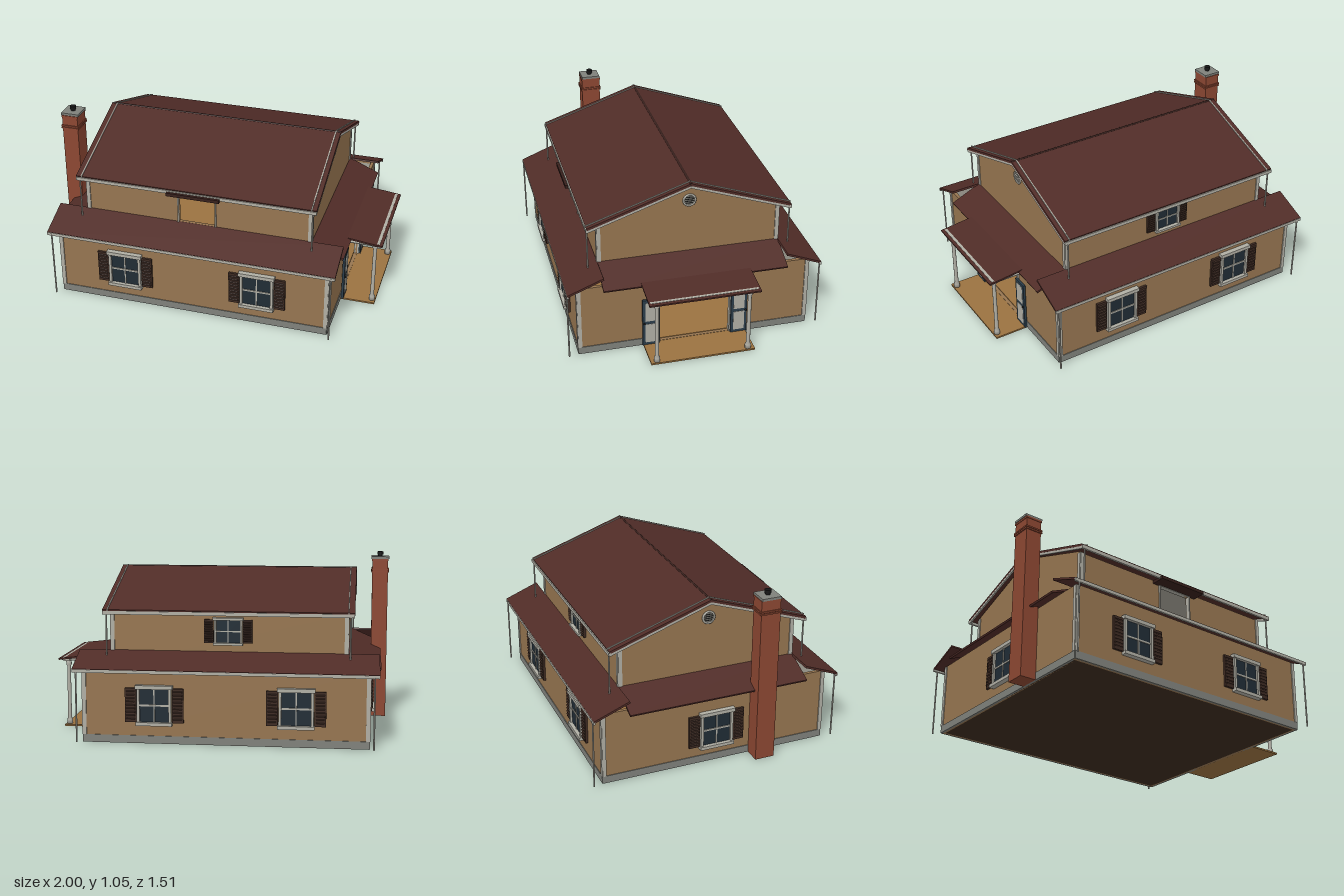
import * as THREE from 'three';

const mat = (color, side = THREE.FrontSide) => new THREE.MeshStandardMaterial({ color, side });
const M = {
  wall: mat(0x967550), trim: mat(0xb0aea4), roof: mat(0x502c27), roofEdge: mat(0x37201c),
  stone: mat(0x7f817b), brick: mat(0x8c4732), shutter: mat(0x3d2a22), glass: mat(0x202c35),
  wood: mat(0x9a7240), door: mat(0x2b3d4a), black: mat(0x151515), base: mat(0x3d2c1f),
  inside: mat(0xa6a398, THREE.BackSide),
};

function add(parent, name, geo, m, x = 0, y = 0, z = 0) {
  const mesh = new THREE.Mesh(geo, m);
  mesh.name = name;
  mesh.position.set(x, y, z);
  parent.add(mesh);
  return mesh;
}
const box = (p, name, m, w, h, d, x, y, z) => add(p, name, new THREE.BoxGeometry(w, h, d), m, x, y, z);

// Box given by its limits
const span = (p, name, m, x0, x1, y0, y1, z0, z1) =>
  box(p, name, m, x1 - x0, y1 - y0, z1 - z0, (x0 + x1) / 2, (y0 + y1) / 2, (z0 + z1) / 2);

// Sloping slab running out along local +z from [z0, y0] to [z1, y1]
function slab(p, name, m, width, z0, y0, z1, y1, t, x = 0) {
  const s = box(p, name, m, width, t, Math.hypot(z1 - z0, y1 - y0), x, (y0 + y1) / 2, (z0 + z1) / 2);
  s.rotation.x = Math.atan2(y0 - y1, z1 - z0);
  return s;
}

// Group whose local +z points out of a wall
function facing(parent, name, angle, x = 0, z = 0) {
  const g = new THREE.Group();
  g.name = name;
  g.rotation.y = angle;
  g.position.set(x, 0, z);
  parent.add(g);
  return g;
}

// Wall panel with its outer face on local z = 0, and an optional opening
function wall(p, name, pts, hole) {
  const s = new THREE.Shape(pts.map(([x, y]) => new THREE.Vector2(x, y)));
  if (hole) {
    const [x0, x1, y0, y1] = hole;
    s.holes.push(new THREE.Path([[x0, y0], [x0, y1], [x1, y1], [x1, y0]].map(([x, y]) => new THREE.Vector2(x, y))));
  }
  const geo = new THREE.ExtrudeGeometry(s, { depth: 0.02, bevelEnabled: false });
  return add(p, name, geo, M.wall, 0, 0, -0.02);
}
const rect = (w, y0, y1) => [[-w, y0], [w, y0], [w, y1], [-w, y1]];

// Four-pane window with louvred shutters
function windowUnit(p, x, y, sx = 1, sy = 1) {
  const g = new THREE.Group();
  g.name = 'window';
  g.position.set(x, y, 0);
  g.scale.set(sx, sy, 1);
  p.add(g);
  box(g, 'glass', M.glass, 0.18, 0.2, 0.012, 0, 0, 0.004);
  for (const s of [-1, 1]) {
    box(g, 'windowJamb', M.trim, 0.016, 0.21, 0.024, s * 0.092, 0, 0.01);
    box(g, 'shutter', M.shutter, 0.066, 0.2, 0.014, s * 0.137, 0, 0.007);
    for (let i = 0; i < 9; i++)
      box(g, 'shutterSlat', M.shutter, 0.05, 0.008, 0.008, s * 0.137, -0.08 + i * 0.02, 0.016).rotation.x = 0.5;
  }
  box(g, 'windowHead', M.trim, 0.216, 0.022, 0.032, 0, 0.107, 0.014);
  box(g, 'windowSill', M.trim, 0.21, 0.02, 0.034, 0, -0.107, 0.015);
  box(g, 'muntin', M.trim, 0.007, 0.2, 0.018, 0, 0, 0.006);
  box(g, 'meetingRail', M.trim, 0.18, 0.01, 0.018, 0, 0, 0.006);
}

// Round louvred gable vent
function gableVent(p, y) {
  add(p, 'ventRing', new THREE.TorusGeometry(0.035, 0.006, 8, 28), M.trim, 0, y, 0.004);
  add(p, 'ventBack', new THREE.CircleGeometry(0.034, 28), M.black, 0, y, 0.003);
  for (let i = -2; i <= 2; i++)
    box(p, 'ventSlat', M.trim, 2 * Math.sqrt(0.0011 - (i * 0.012) ** 2), 0.004, 0.01, 0, y + i * 0.012, 0.005);
}

// Trim around an opening
function casing(p, x0, x1, y0, y1, t) {
  span(p, 'openingJamb', M.trim, x0 - t, x0, y0, y1 + t, -0.02, 0.01);
  span(p, 'openingJamb', M.trim, x1, x1 + t, y0, y1 + t, -0.02, 0.01);
  span(p, 'openingHead', M.trim, x0, x1, y1, y1 + t, -0.02, 0.01);
}

const pipe = (p, x, z, y0, y1) =>
  add(p, 'downspout', new THREE.CylinderGeometry(0.005, 0.005, y1 - y0, 8), M.trim, x, (y0 + y1) / 2, z);

export function createModel() {
  const root = new THREE.Group();
  root.name = 'house';
  const L = { cx: -0.065, w: 0.825, d: 0.69 }, U = { cx: -0.07, w: 0.69, d: 0.54 };
  const sides = [['front', 0], ['back', Math.PI], ['left', Math.PI / 2], ['right', -Math.PI / 2]];

  // Base and floors
  span(root, 'groundSlab', M.base, L.cx - L.w, L.cx + L.w, 0, 0.008, -L.d, L.d);
  span(root, 'groundFloor', M.wood, -0.868, 0.738, 0.008, 0.014, -0.668, 0.668);
  span(root, 'upperFloor', M.wood, -0.738, 0.598, 0.49, 0.5, -0.518, 0.518);
  span(root, 'groundRoom', M.inside, -0.868, 0.738, 0.009, 0.43, -0.668, 0.668);
  span(root, 'upperRoom', M.inside, -0.738, 0.598, 0.47, 0.75, -0.518, 0.518);

  for (const [side, a] of sides) {
    const along = side === 'front' || side === 'back';
    const ox = Math.round(Math.sin(a)), oz = Math.round(Math.cos(a));

    // Ground storey
    const lw = along ? L.w : L.d;
    const lo = facing(root, side + 'LowerWall', a, L.cx + ox * L.w, oz * L.d);
    const doorway = side === 'left' ? [-0.21, 0.21, 0.012, 0.36] : null;
    wall(lo, 'lowerSiding', rect(lw, 0, 0.44), doorway);
    const footings = doorway ? [[-lw, -0.225], [0.225, lw]] : [[-lw, lw]];
    for (const [f0, f1] of footings) span(lo, 'foundation', M.stone, f0, f1, 0, 0.045, -0.01, 0.004);
    for (const s of [-1, 1]) box(lo, 'cornerBoard', M.trim, 0.022, 0.39, 0.012, s * (lw - 0.009), 0.24, 0);

    // Upper storey; the ends rise into gables
    const uw = along ? U.w : U.d;
    const up = facing(root, side + 'UpperWall', a, U.cx + ox * U.w, oz * U.d);
    const pts = along ? rect(uw, 0.43, 0.75) : [[-uw, 0.43], [uw, 0.43], [uw, 0.757], [0, 0.95], [-uw, 0.757]];
    wall(up, 'upperSiding', pts, side === 'front' ? [-0.11, 0.11, 0.52, 0.725] : null);
    for (const s of [-1, 1]) box(up, 'cornerBoard', M.trim, 0.022, 0.25, 0.012, s * (uw - 0.009), 0.625, 0);

    if (along) {
      const sign = side === 'front' ? 1 : -1;
      for (const x of [-0.475, 0.34]) windowUnit(lo, sign * (x - L.cx), 0.225);
      // Eaves: lower pent roof, main roof slope, gutters and downspouts
      const e = facing(root, side + 'Roof', a);
      slab(e, 'pentRoof', M.roof, 1.75, 0.54, 0.515, 0.75, 0.432, 0.012, sign * -0.067);
      box(e, 'lowerGutter', M.trim, 1.75, 0.018, 0.012, sign * -0.067, 0.426, 0.748);
      slab(e, 'mainRoof', M.roof, 1.455, 0, 0.964, 0.602, 0.757, 0.014, sign * -0.07);
      box(e, 'upperGutter', M.trim, 1.455, 0.02, 0.012, sign * -0.07, 0.746, 0.602);
      for (const x of [-0.762, 0.628]) slab(e, 'rakeTrim', M.trim, 0.007, 0, 0.968, 0.605, 0.761, 0.016, sign * x);
      for (const x of [-0.792, 0.652]) slab(e, 'bargeBoard', M.trim, 0.01, 0, 0.951, 0.6, 0.744, 0.018, sign * x);
      for (const x of [-0.915, 0.785]) pipe(e, sign * x, 0.75, 0.01, 0.43);
      for (const x of [-0.775, 0.635]) pipe(e, sign * x, 0.6, 0.45, 0.745);
    } else {
      gableVent(up, 0.85);
      const e = facing(root, side + 'PentRoof', a, U.cx + ox * U.w);
      slab(e, 'pentRoof', M.roof, 1.09, 0, 0.515, 0.19, 0.432, 0.012);
    }

    if (side === 'front') {
      casing(up, -0.11, 0.11, 0.52, 0.725, 0.008);
      span(up, 'openingAwning', M.roofEdge, -0.16, 0.16, 0.728, 0.748, 0, 0.085);
    }
    if (side === 'back') windowUnit(up, 0, 0.64, 0.82, 0.68);
    if (side === 'right') windowUnit(lo, 0, 0.21);

    // Entrance with a pair of doors folded back against the wall
    if (doorway) {
      casing(lo, -0.21, 0.21, 0.01, 0.36, 0.018);
      for (const s of [-1, 1]) {
        const d = new THREE.Group();
        d.name = 'door';
        d.position.set(s * 0.266, 0, 0.014);
        lo.add(d);
        box(d, 'doorLeaf', M.door, 0.098, 0.31, 0.014, 0, 0.162, 0);
        for (const y of [0.09, 0.235]) box(d, 'doorPane', M.trim, 0.066, 0.125, 0.018, 0, y, 0);
        add(d, 'doorKnob', new THREE.SphereGeometry(0.006, 10, 8), M.black, s * 0.04, 0.16, 0.012);
      }
    }
  }
  add(root, 'ridgeCap', new THREE.CylinderGeometry(0.008, 0.008, 1.455, 8), M.roofEdge, -0.07, 0.966, 0).rotation.z = Math.PI / 2;

  // Porch
  const porch = facing(root, 'porch', Math.PI / 2);
  span(porch, 'porchFloor', M.wood, -0.31, 0.31, 0, 0.01, 0.76, 0.97);
  slab(porch, 'porchRoof', M.roof, 0.65, 0.78, 0.444, 0.998, 0.419, 0.01);
  span(porch, 'porchCeiling', M.trim, -0.31, 0.31, 0.408, 0.412, 0.76, 0.975);
  span(porch, 'porchBeam', M.trim, -0.31, 0.31, 0.406, 0.427, 0.935, 0.965);
  span(porch, 'porchGutter', M.trim, -0.315, 0.315, 0.412, 0.428, 0.955, 0.98);
  const profile = [[0, 0], [0.018, 0], [0.018, 0.025], [0.012, 0.035], [0.011, 0.36], [0.017, 0.37], [0.017, 0.4], [0, 0.4]];
  for (const s of [-1, 1])
    add(porch, 'porchPost', new THREE.LatheGeometry(profile.map(([r, y]) => new THREE.Vector2(r, y)), 14), M.trim, s * 0.272, 0.01, 0.948);

  // Chimney
  const c = new THREE.Group();
  c.name = 'chimney';
  c.position.set(-0.942, 0, 0.27);
  root.add(c);
  box(c, 'chimneyStack', M.brick, 0.098, 1.005, 0.118, 0, 0.5025, 0);
  for (const y of [0.925, 0.938]) box(c, 'chimneyBand', M.brick, 0.11, 0.009, 0.13, 0, y, 0);
  box(c, 'chimneyCrown', M.brick, 0.104, 0.012, 0.124, 0, 1.0, 0);
  box(c, 'chimneyCap', M.stone, 0.112, 0.014, 0.116, 0, 1.013, 0);
  add(c, 'fluePipe', new THREE.CylinderGeometry(0.014, 0.014, 0.02, 14), M.black, 0, 1.028, 0);
  add(c, 'flueCap', new THREE.CylinderGeometry(0.019, 0.019, 0.018, 14), M.black, 0, 1.04, 0);
  return root;
}
